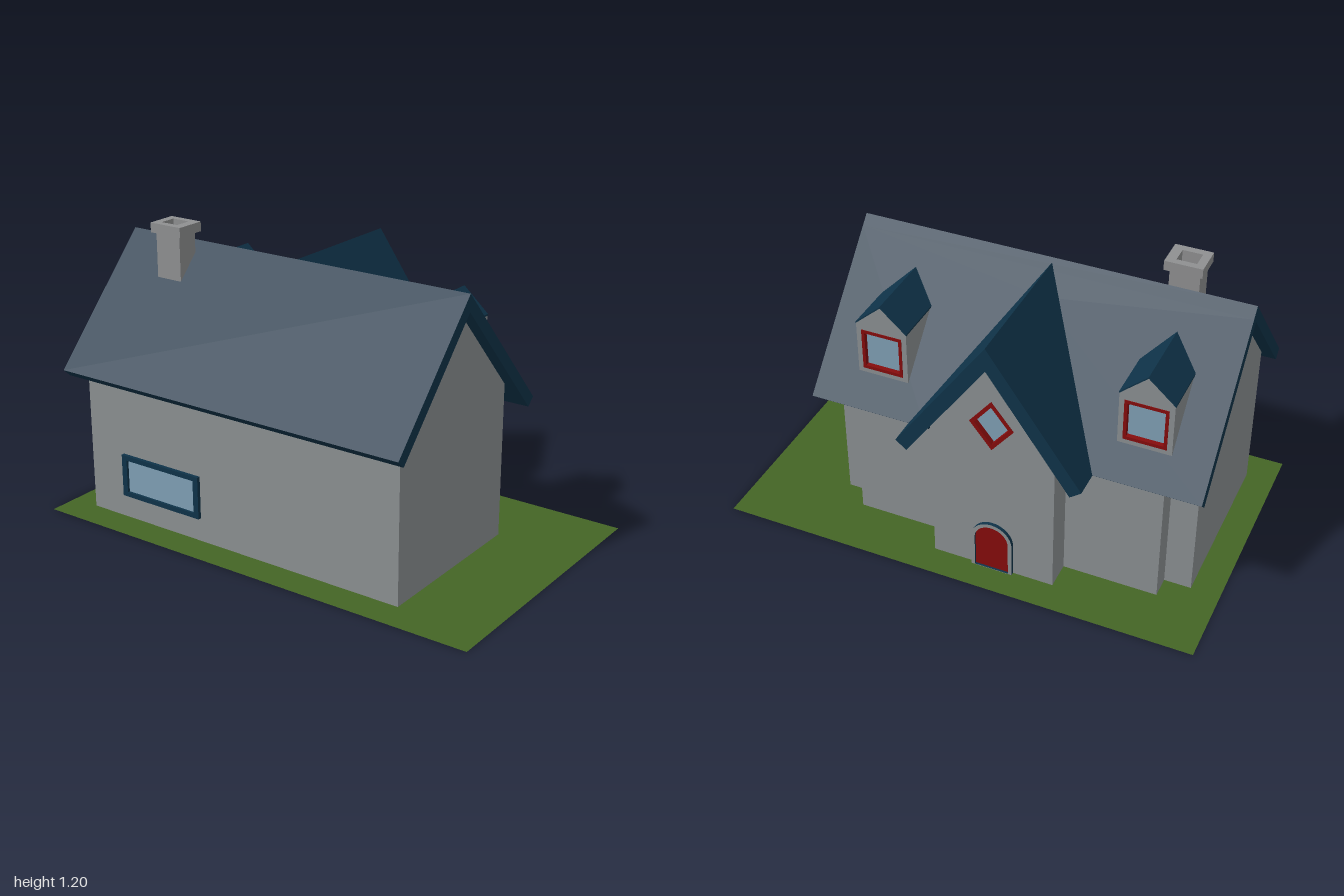
import * as THREE from 'three';

const mat = (name, color, side = THREE.FrontSide) => {
  const m = new THREE.MeshStandardMaterial({ color, side });
  m.name = name;
  return m;
};

export function createModel() {
  const house = new THREE.Group();
  house.name = 'house';
  const wall = mat('wall grey', 0x8b9092, THREE.DoubleSide);
  const stone = mat('chimney grey', 0x8f9091);
  const roof = mat('roof blue', 0x0f3349, THREE.DoubleSide);
  const red = mat('red paint', 0x860c0c);
  const glass = mat('window glass', 0x7fa0b5, THREE.DoubleSide);
  const grass = mat('grass green', 0x446525, THREE.DoubleSide);

  const add = (name, geo, material) => {
    const m = new THREE.Mesh(geo, material);
    m.name = name;
    house.add(m);
    return m;
  };
  const poly = (pts, hole) => {
    const s = new THREE.Shape(pts.map(p => new THREE.Vector2(...p)));
    if (hole) s.holes.push(new THREE.Path(hole.map(p => new THREE.Vector2(...p))));
    return s;
  };
  const rect = (a0, a1, b0, b1) => [[a0, b0], [a1, b0], [a1, b1], [a0, b1]];
  const extrude = (shape, depth) =>
    new THREE.ExtrudeGeometry(shape, { depth, bevelEnabled: false, curveSegments: 10 });
  // Turns a (z, y) shape to lie at the given x; extrusion runs towards -x
  const atX = (geo, x) => geo.rotateY(-Math.PI / 2).translate(x, 0, 0);

  // Main roof measures
  const SLOPE = 1.075, RX = -0.1, RY = 1.115, angle = Math.atan(SLOPE);
  const cos = Math.cos(angle), sin = Math.sin(angle);
  const under = x => 1.08 - Math.abs(x - RX) * SLOPE;
  const CZ = -0.125, CSLOPE = 1.415;

  // Extrudes a (z, y) shape back from x until it meets the main roof plane
  const intoRoof = (shape, x) => {
    const g = atX(extrude(shape, 1), x), p = g.attributes.position;
    for (let i = 0; i < p.count; i++)
      if (p.getX(i) < x - 0.5) p.setX(i, RX + (RY - p.getY(i)) / SLOPE);
    return g;
  };

  // Lawn, open under the house
  const half = [[0.27, 0.63], [0.27, 0.52], [0.36, 0.52], [0.36, 0.13], [0.475, 0.13],
    [0.475, -0.38], [0.36, -0.38], [0.36, -0.77], [0.27, -0.77], [0.27, -0.88]];
  const footprint = [[-0.47, 0.63], ...half, [-0.47, -0.88]].map(([x, z]) => [x, -z]);
  add('lawn', new THREE.ShapeGeometry(poly(rect(-0.6, 0.6, -1, 1), footprint)).rotateX(-Math.PI / 2), grass);

  // Walls
  const wallX = (name, x, pts, hole) => add(name, atX(new THREE.ShapeGeometry(poly(pts, hole)), x), wall);
  const wallZ = (name, z, pts) => add(name, new THREE.ShapeGeometry(poly(pts)).translate(0, 0, z), wall);
  for (const z of [0.63, -0.88])
    wallZ('gableWall', z, [[-0.47, 0], [0.27, 0], [0.27, under(0.27)], [RX, 1.08], [-0.47, under(-0.47)]]);
  const backOpening = rect(-0.68, -0.33, 0.12, 0.26);
  wallX('backWall', -0.47, rect(-0.88, 0.63, 0, under(-0.47)), backOpening);
  for (const s of [1, -1]) {
    const z = d => CZ + s * d;
    wallX('cornerWall', 0.27, rect(z(0.645), z(0.755), 0, under(0.27)));
    wallZ('cornerReturn', z(0.645), [[0.27, 0], [0.36, 0], [0.36, under(0.36)], [0.27, under(0.27)]]);
    wallX('entranceWall', 0.36, [[z(0.255), 0], [z(0.645), 0], [z(0.645), under(0.36)],
      [z(0.335), under(0.36)], [z(0.255), 0.68]]);
    wallZ('porchSide', z(0.255), rect(0.36, 0.475, 0, 0.69));
  }
  const diamond = (w, h) => [[CZ - w, 0.715], [CZ, 0.715 - h], [CZ + w, 0.715], [CZ, 0.715 + h]];
  wallX('porchFront', 0.475,
    [[-0.38, 0], [0.13, 0], [0.13, 0.69], [CZ, 1.05], [-0.38, 0.69]], diamond(0.085, 0.108));

  // Main roof: back slope carries the ridge, front slope is notched for the cross gable
  const ex = -0.525, ey = 1.045 - 0.425 * SLOPE;
  add('backRoof', extrude(poly([[ex, ey], [RX, 1.045], [RX + 0.035, RY - 0.035 * SLOPE], [RX, RY],
    [-0.56, RY - 0.46 * SLOPE]]), 1.61).translate(0, 0, -0.93), roof);
  const len = 0.705, notch = 0.311;
  const front = extrude(poly([[-0.68, 0], [0.93, 0], [0.93, -len], [-CZ + notch, -len],
    [-CZ, -0.106], [-CZ - notch, -len], [-0.68, -len]]), 0.048);
  front.applyMatrix4(new THREE.Matrix4().makeBasis(new THREE.Vector3(0, 0, -1),
    new THREE.Vector3(-cos, sin, 0), new THREE.Vector3(sin, cos, 0)));
  add('frontRoof', front.translate(RX, 1.045, 0), roof);

  // Cross gable roof
  const chevron = (c, top, w, eave, inTop, inW, inEave) => poly([[c - w, eave], [c - inW, inEave],
    [c, inTop], [c + inW, inEave], [c + w, eave], [c, top]]);
  add('crossRoof', intoRoof(chevron(CZ, 1.1, 0.381, 1.1 - 0.381 * CSLOPE,
    1.0, 0.335, 1.0 - 0.335 * CSLOPE), 0.525), roof);

  // Diamond window
  add('diamondFrame', atX(extrude(poly(diamond(0.09, 0.113), diamond(0.07, 0.088)), 0.028), 0.478), red);
  add('diamondGlass', atX(new THREE.ShapeGeometry(poly(diamond(0.075, 0.093))), 0.455), glass);

  // Dormers with recessed windows
  for (const c of [0.41, -0.667]) {
    const w = 0.107, x = 0.315;
    add('dormerBody', intoRoof(poly([[c - w, 0.67], [c + w, 0.67], [c + w, 0.895], [c, 0.99],
      [c - w, 0.895]], rect(c - 0.083, c + 0.083, 0.693, 0.867)), x), wall);
    add('dormerRoof', intoRoof(chevron(c, 0.997, w + 0.002, 0.9, 0.99, w + 0.002, 0.893), x), roof);
    add('dormerFrame', atX(extrude(poly(rect(c - 0.086, c + 0.086, 0.69, 0.87),
      rect(c - 0.073, c + 0.073, 0.704, 0.856)), 0.022), x + 0.002), red);
    add('dormerGlass', atX(new THREE.ShapeGeometry(poly(rect(c - 0.076, c + 0.076, 0.7, 0.86))), 0.298), glass);
  }

  // Arched door and surround
  const arch = (P, r, y0) => {
    const s = new P();
    s.moveTo(CZ - r, y0);
    s.lineTo(CZ + r, y0);
    s.lineTo(CZ + r, 0.146);
    s.absarc(CZ, 0.146, r, 0, Math.PI, false);
    s.lineTo(CZ - r, y0);
    return s;
  };
  const surround = arch(THREE.Shape, 0.087, 0);
  surround.holes.push(arch(THREE.Path, 0.071, 0.002));
  add('doorSurround', atX(extrude(surround, 0.02), 0.49), [wall, roof]);
  add('door', atX(extrude(arch(THREE.Shape, 0.073, 0), 0.008), 0.481), red);

  // Back window
  add('backWindowFrame', atX(extrude(poly(rect(-0.705, -0.305, 0.1, 0.28), backOpening), 0.017), -0.468), roof);
  add('backWindowGlass', atX(new THREE.ShapeGeometry(poly(backOpening)), -0.474), glass);

  // Hollow chimney
  const flue = rect(-0.22, -0.15, 0.595, 0.675);
  const stack = (name, outer, y0, y1) => add(name,
    extrude(poly(outer, flue), y1 - y0).rotateX(-Math.PI / 2).translate(0, y0, 0), stone);
  stack('chimneyShaft', rect(-0.232, -0.138, 0.575, 0.695), 0.95, 1.16);
  stack('chimneyCap', rect(-0.25, -0.122, 0.556, 0.708), 1.16, 1.2);

  return house;
}
